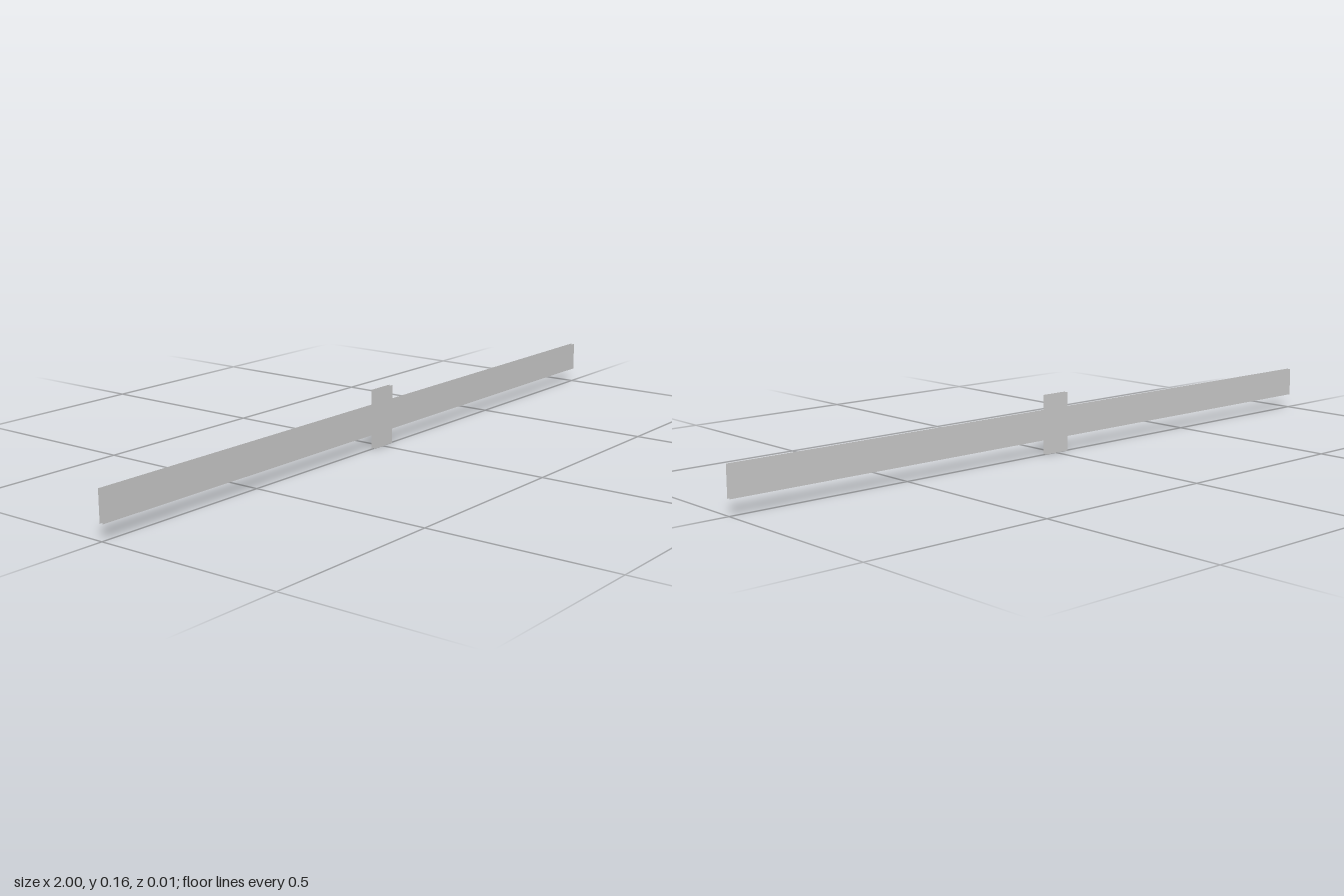
import * as THREE from 'three';

const CENTER_Y = 0.08;
const HALF_DEPTH = 0.0045;

// Outline of a long bar crossed by a short upright tab
function crossShape(barX, barY, tabX, tabY) {
  const s = new THREE.Shape();
  const quarter = [[barX, -barY], [barX, barY], [tabX, barY], [tabX, tabY]];
  const points = [
    ...quarter,
    [-tabX, tabY], [-tabX, barY], [-barX, barY], [-barX, -barY],
    [-tabX, -barY], [-tabX, -tabY], [tabX, -tabY], [tabX, -barY],
  ];
  s.setFromPoints(points.map(([x, y]) => new THREE.Vector2(x, y)));
  return s;
}

export function createModel() {
  const model = new THREE.Group();
  model.name = 'crossBar';
  const material = new THREE.MeshStandardMaterial({ color: 0xcccccc, flatShading: true, side: THREE.DoubleSide });

  function add(name, geometry, z) {
    const mesh = new THREE.Mesh(geometry, material);
    mesh.name = name;
    mesh.position.set(0, CENTER_Y, z);
    model.add(mesh);
    return mesh;
  }

  // Thin face plates, front and back
  const plate = new THREE.ShapeGeometry(crossShape(1, 0.04, 0.04, 0.08));
  add('frontPlate', plate, HALF_DEPTH);
  add('backPlate', plate, -HALF_DEPTH).rotation.y = Math.PI;

  // Inset core joining the plates
  const depth = 2 * HALF_DEPTH - 0.0002;
  const core = new THREE.ExtrudeGeometry(crossShape(0.973, 0.0267, 0.0267, 0.0667), { depth, bevelEnabled: false });
  add('core', core, -depth / 2);

  return model;
}
